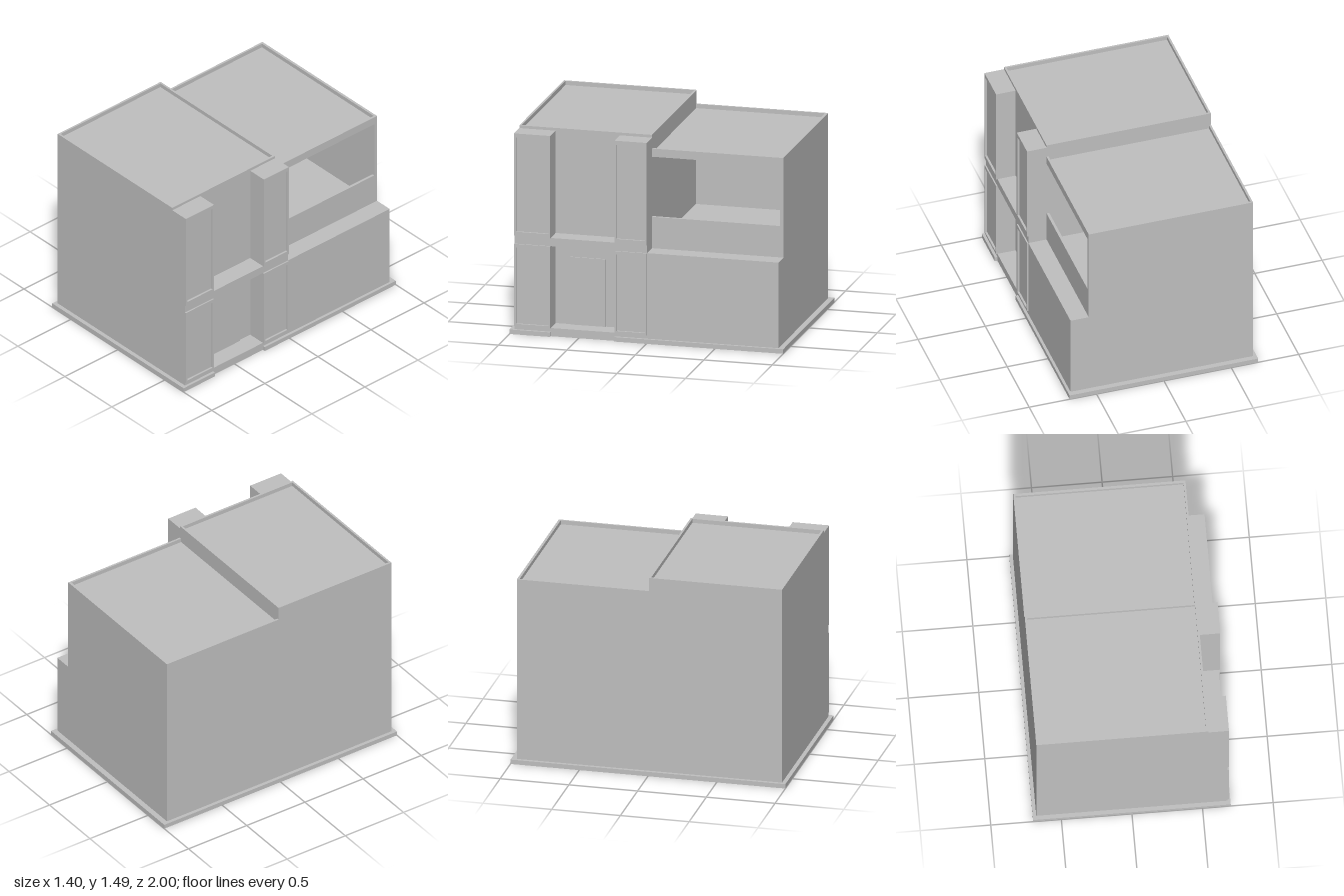
import * as THREE from 'three';

const wallGrey = new THREE.MeshStandardMaterial({ color: 0xc0c0c0 });
wallGrey.name = 'wall grey';

// Box given by its limits on each axis
function box(parent, name, x0, x1, y0, y1, z0, z1) {
  const mesh = new THREE.Mesh(new THREE.BoxGeometry(x1 - x0, y1 - y0, z1 - z0), wallGrey);
  mesh.position.set((x0 + x1) / 2, (y0 + y1) / 2, (z0 + z1) / 2);
  mesh.name = name;
  parent.add(mesh);
  return mesh;
}

// Closed outline from limits, for frames
function rect(Type, u0, u1, v0, v1) {
  return new Type([[u0, v0], [u1, v0], [u1, v1], [u0, v1]].map(([u, v]) => new THREE.Vector2(u, v)));
}

// Upright frame with a recessed panel, facing +x
function pilaster(parent, name, y0, y1, z0, z1, gapBottom, gapTop) {
  const group = new THREE.Group();
  group.name = name;
  box(group, 'pilasterCore', 0.545, 0.675, y0, y1, z0, z1);
  const shape = rect(THREE.Shape, -z1, -z0, y0, y1);
  shape.holes.push(rect(THREE.Path, -z1 + 0.014, -z0 - 0.014, y0 + gapBottom, y1 - gapTop));
  const geometry = new THREE.ExtrudeGeometry(shape, { depth: 0.015, bevelEnabled: false });
  geometry.rotateY(Math.PI / 2);
  const frame = new THREE.Mesh(geometry, wallGrey);
  frame.position.x = 0.675;
  frame.name = 'pilasterFrame';
  group.add(frame);
  parent.add(group);
}

export function createModel() {
  const model = new THREE.Group();
  model.name = 'house';
  const L = -0.675, R = 0.545;

  // Base slab, notched in front of the entrance
  box(model, 'baseSlab', -0.7, 0.68, 0, 0.033, -1, 1);
  box(model, 'baseEdgeRear', 0.68, 0.7, 0, 0.033, -1, 0.235);
  box(model, 'baseEdgeFront', 0.68, 0.7, 0, 0.033, 0.705, 1);
  box(model, 'entranceStep', R, 0.68, 0.033, 0.06, 0, 0.97);

  // Tall front block and its parapet
  box(model, 'frontBlock', L, R, 0.033, 1.46, 0, 0.97);
  box(model, 'frontParapet', L, R, 1.46, 1.49, 0.955, 0.97);
  box(model, 'frontParapet', L, R, 1.46, 1.49, 0, 0.015);
  box(model, 'frontParapet', L, L + 0.015, 1.46, 1.49, 0.015, 0.955);
  box(model, 'frontParapet', R - 0.015, R, 1.46, 1.49, 0.015, 0.955);

  // Ledge, pilasters and door on the right side
  box(model, 'floorLedge', R, 0.68, 0.66, 0.72, 0, 0.97);
  for (const [z0, z1] of [[0, 0.235], [0.705, 0.97]]) {
    pilaster(model, 'lowerPilaster', 0.06, 0.66, z0, z1, 0.015, 0.025);
    pilaster(model, 'upperPilaster', 0.72, 1.47, z0, z1, 0.03, 0.03);
  }
  box(model, 'door', R, R + 0.009, 0.06, 0.555, 0.34, 0.595);

  // Rear ground floor, wider than the storey above
  box(model, 'rearGroundFloor', L, 0.68, 0.033, 0.66, -0.96, 0);

  // Rear upper room, open on the right
  box(model, 'roomBackWall', L, R, 0.66, 1.36, -0.96, -0.935);
  box(model, 'roomLeftWall', L, L + 0.025, 0.66, 1.36, -0.935, 0);
  box(model, 'roomSill', R - 0.02, R, 0.66, 0.89, -0.935, 0);
  box(model, 'roomRoof', L + 0.025, R, 1.33, 1.36, -0.935, 0);
  box(model, 'rearParapet', L, R, 1.36, 1.39, -0.96, -0.942);
  box(model, 'rearParapet', L, L + 0.015, 1.36, 1.39, -0.942, 0);
  box(model, 'rearParapet', R - 0.015, R, 1.36, 1.39, -0.942, 0);

  return model;
}
